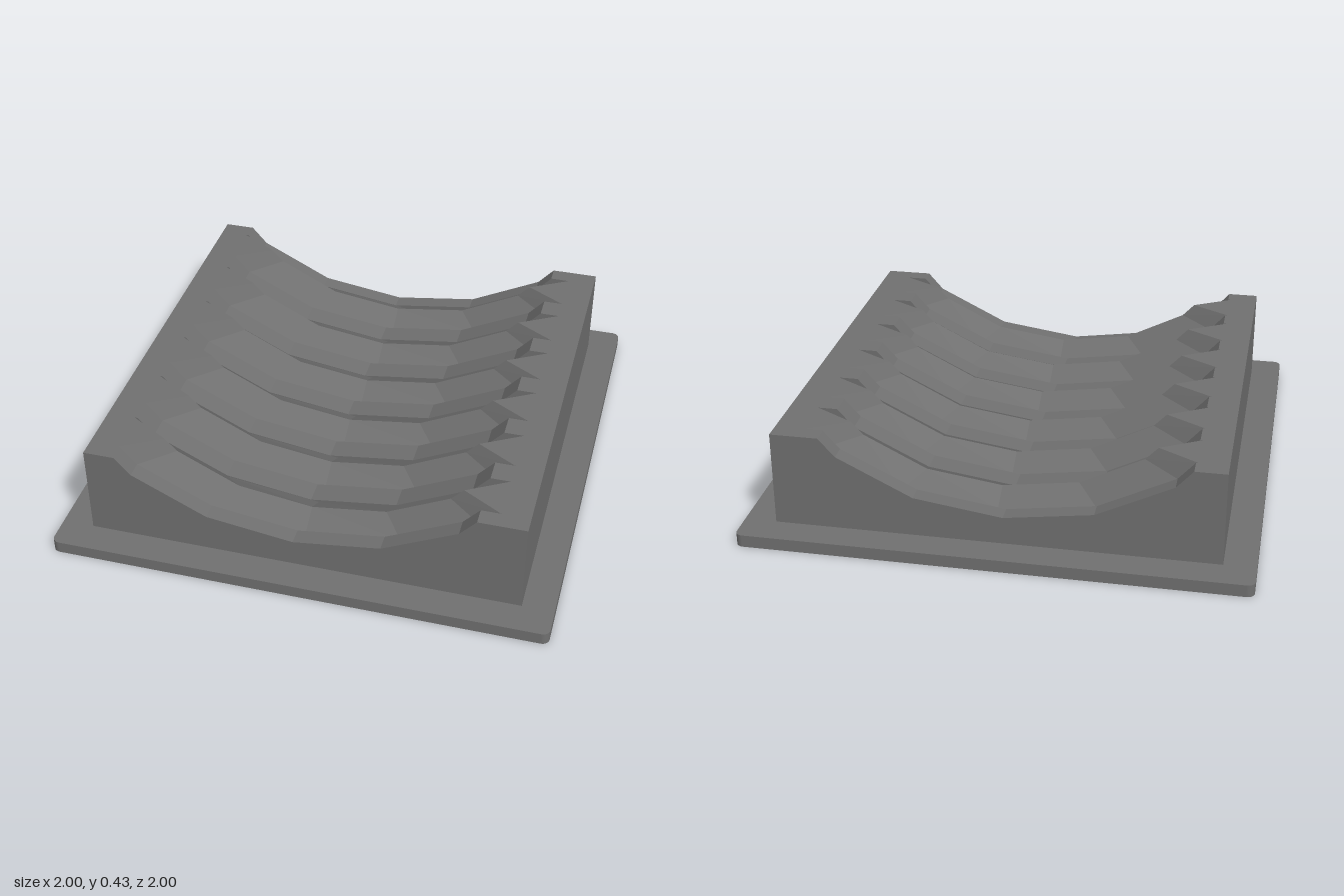
import * as THREE from 'three';

const TOP = 0.433, FLOOR = 0.04, HALF = 0.873;

// Trough cross-sections, listed from +x to -x
const mirrored = half => [...half, ...half.slice(0, -1).reverse().map(([x, y]) => [-x, y])];
const crest = mirrored([[0.6, TOP], [0.55, 0.38], [0.3, 0.255], [0, 0.212]]);
const foot = mirrored([[0.76, TOP], [0.69, 0.355], [0.38, 0.207], [0, 0.157]]);
const valley = mirrored([[0.715, TOP], [0.65, 0.36], [0.35, 0.212], [0, 0.162]])
  .map(([x, y]) => [x - 0.033, y]);

// Closed block outline, counter-clockwise seen from the front
const outline = trough => [[-HALF, FLOOR], [HALF, FLOOR], [HALF, TOP], ...trough, [-HALF, TOP]];

function ribbedBlock() {
  // Stations from back to front: flat valleys between wedge-shaped ribs
  const stations = [[-HALF, valley]];
  for (let i = 0; i < 6; i++) {
    const z = (i - 2.5) * 0.284;
    stations.push([z - 0.094, valley], [z - 0.094, foot], [z, crest], [z + 0.094, foot], [z + 0.094, valley]);
  }
  stations.push([HALF, valley]);
  const rings = stations.map(([z, trough]) => outline(trough).map(([x, y]) => [x, y, z]));

  const positions = [];
  const tri = (...corners) => corners.forEach(c => positions.push(...c));

  // Skin between neighbouring stations
  for (let s = 0; s < rings.length - 1; s++) {
    const back = rings[s], front = rings[s + 1];
    for (let i = 0; i < back.length; i++) {
      const j = (i + 1) % back.length;
      tri(front[i], back[i], back[j]);
      tri(front[i], back[j], front[j]);
    }
  }

  // End walls
  const first = rings[0], last = rings[rings.length - 1];
  const contour = outline(valley).map(([x, y]) => new THREE.Vector2(x, y));
  for (const [a, b, c] of THREE.ShapeUtils.triangulateShape(contour, [])) {
    tri(last[a], last[b], last[c]);
    tri(first[c], first[b], first[a]);
  }

  const geometry = new THREE.BufferGeometry();
  geometry.setAttribute('position', new THREE.Float32BufferAttribute(positions, 3));
  geometry.computeVertexNormals();
  return geometry;
}

function plate(half, radius, height) {
  const k = half - radius;
  const shape = new THREE.Shape();
  [[k, k], [-k, k], [-k, -k], [k, -k]].forEach(([x, y], i) =>
    shape.absarc(x, y, radius, i * Math.PI / 2, (i + 1) * Math.PI / 2, false));
  shape.closePath();
  return new THREE.ExtrudeGeometry(shape, { depth: height, bevelEnabled: false, curveSegments: 5 })
    .rotateX(-Math.PI / 2);
}

export function createModel() {
  const group = new THREE.Group();
  group.name = 'ribbedCradle';
  const grey = new THREE.MeshStandardMaterial({ color: 0x707070 });
  grey.name = 'grey';

  const add = (name, geometry) => {
    const mesh = new THREE.Mesh(geometry, grey);
    mesh.name = name;
    group.add(mesh);
  };
  add('basePlate', plate(1, 0.03, 0.05));
  add('ribbedTroughBlock', ribbedBlock());
  return group;
}
